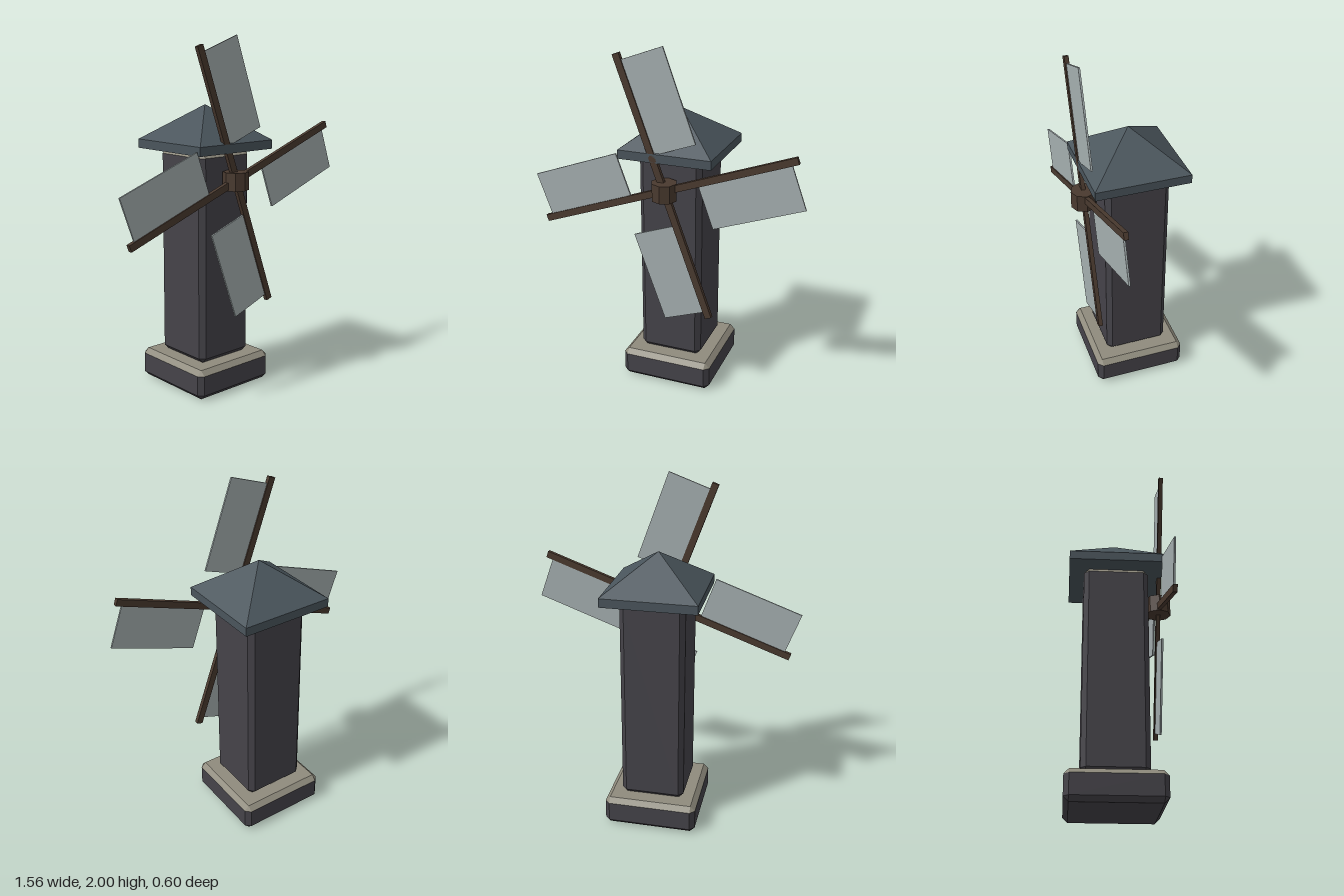
import * as THREE from 'three';
import { ConvexGeometry } from 'three/addons/geometries/ConvexGeometry.js';

const mat = (color) => new THREE.MeshStandardMaterial({ color, flatShading: true });
const darkStone = mat(0x454349);
const paleStone = mat(0x8f8b7d);
const slate = mat(0x4a555c);
const wood = mat(0x4a3a2f);
const cloth = mat(0xa5afb0);

function part(name, geometry, material, x = 0, y = 0, z = 0) {
  const mesh = new THREE.Mesh(geometry, material);
  mesh.name = name;
  mesh.position.set(x, y, z);
  return mesh;
}

// Square block with every edge chamfered; upward faces are pale, the rest dark
function chamferedBlock(name, width, height, c) {
  const w = width / 2, h = height / 2, points = [];
  for (const x of [-1, 1]) for (const y of [-1, 1]) for (const z of [-1, 1]) {
    points.push(
      new THREE.Vector3(x * w, y * (h - c), z * (w - c)),
      new THREE.Vector3(x * (w - c), y * h, z * (w - c)),
      new THREE.Vector3(x * (w - c), y * (h - c), z * w));
  }
  const hull = new ConvexGeometry(points);
  const pos = hull.attributes.position, nor = hull.attributes.normal;
  const sides = [], top = [];
  for (let i = 0; i < pos.count; i++) {
    (nor.getY(i) > 0.1 ? top : sides).push(new THREE.Vector3().fromBufferAttribute(pos, i));
  }
  const faces = (list) => {
    const g = new THREE.BufferGeometry().setFromPoints(list);
    g.computeVertexNormals();
    return g;
  };
  const block = new THREE.Group();
  block.name = name;
  block.add(part(name + 'Sides', faces(sides), darkStone), part(name + 'Top', faces(top), paleStone));
  return block;
}

export function createModel() {
  const model = new THREE.Group();
  model.name = 'windmill';

  // Building, set slightly back to leave room for the rotor
  const building = new THREE.Group();
  building.name = 'building';
  building.position.z = -0.03;
  const base = chamferedBlock('base', 0.536, 0.17, 0.028);
  base.position.y = 0.085;
  const tower = chamferedBlock('tower', 0.366, 1.2, 0.028);
  tower.position.y = 0.77;
  building.add(base, tower);

  // Roof: eaves slab and pyramid
  building.add(part('roofEaves', new THREE.BoxGeometry(0.536, 0.05, 0.536), slate, 0, 1.395, 0));
  const pyramid = new THREE.ConeGeometry(0.268 * Math.SQRT2, 0.197, 4, 1, true).rotateY(Math.PI / 4);
  building.add(part('roofPyramid', pyramid, slate, 0, 1.5185, 0));
  model.add(building);

  // Upright octagonal hub
  const hubY = 1.215, hubZ = 0.226;
  model.add(part('hub', new THREE.CylinderGeometry(0.072, 0.072, 0.1, 8), wood, 0, hubY, hubZ));

  // Rotor: two full-length spars carrying four sails
  const rotor = new THREE.Group();
  rotor.name = 'rotor';
  rotor.position.set(0, hubY, hubZ);
  rotor.rotation.z = THREE.MathUtils.degToRad(20);
  for (let i = 0; i < 4; i++) {
    const arm = new THREE.Group();
    arm.name = 'arm' + (i + 1);
    arm.rotation.z = i * Math.PI / 2;
    if (i < 2) arm.add(part('spar', new THREE.BoxGeometry(0.039, 1.545, 0.024), wood));
    arm.add(part('sail', new THREE.BoxGeometry(0.26, 0.53, 0.01), cloth, 0.135, 0.469, 0));
    rotor.add(arm);
  }
  model.add(rotor);

  return model;
}
